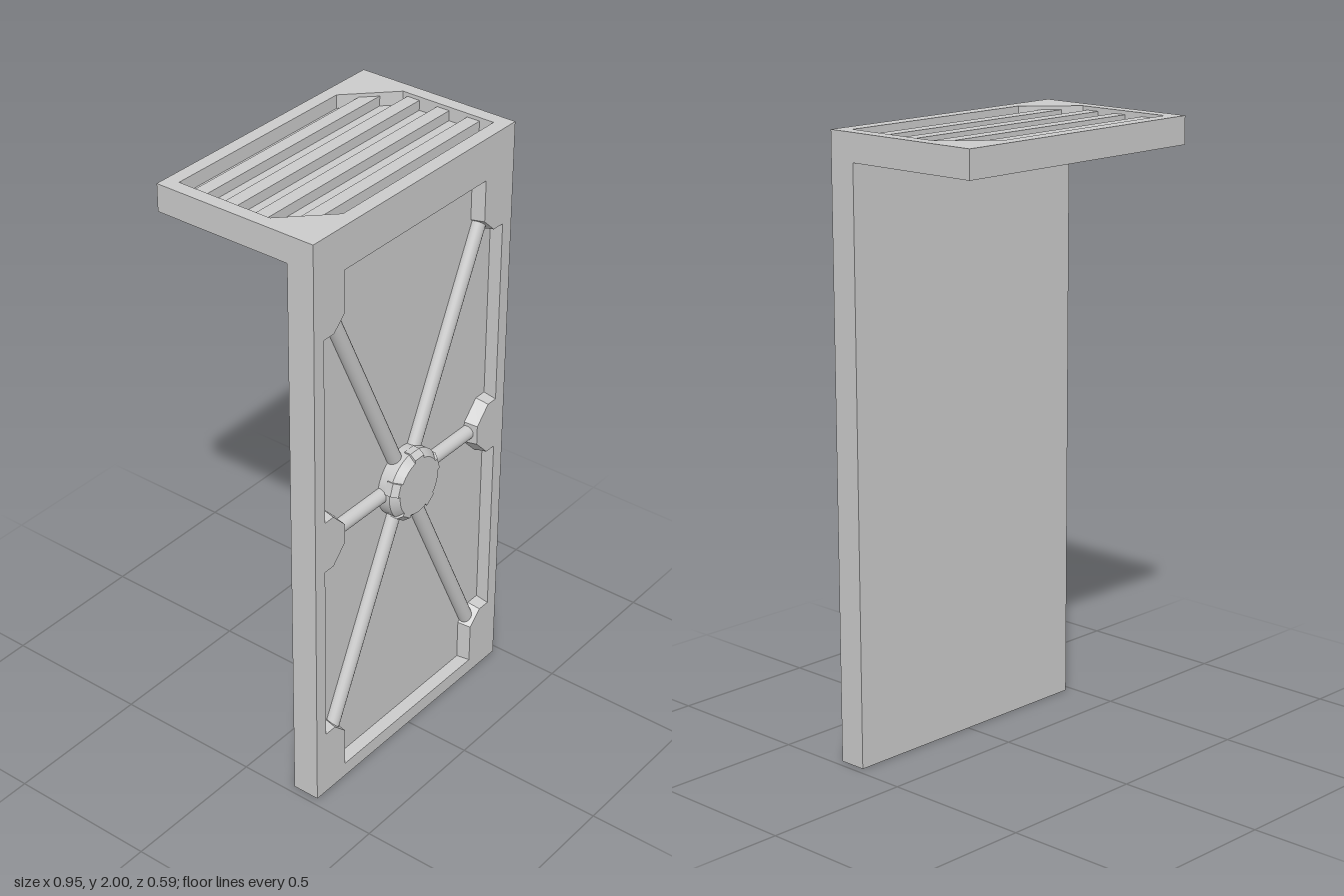
import * as THREE from 'three';

const W = 0.475, FRONT = 0.273, BACK = -0.297, FLOOR_Z = 0.228, FLOOR_Y = 1.955;
const CY = 0.955; // height of the hub
const mat = new THREE.MeshStandardMaterial({ color: 0xcccccc });
const flat = new THREE.MeshStandardMaterial({ color: 0xcccccc, flatShading: true });
const twoSided = new THREE.MeshStandardMaterial({ color: 0xcccccc, flatShading: true, side: THREE.DoubleSide });

function add(parent, name, geometry, material = mat) {
  const mesh = new THREE.Mesh(geometry, material);
  mesh.name = name;
  parent.add(mesh);
  return mesh;
}

// Box given by its two extreme corners
function block(parent, name, a, b) {
  const mesh = add(parent, name, new THREE.BoxGeometry(b[0] - a[0], b[1] - a[1], b[2] - a[2]));
  mesh.position.set((a[0] + b[0]) / 2, (a[1] + b[1]) / 2, (a[2] + b[2]) / 2);
}

const toPath = (pts, Type = THREE.Shape) => new Type(pts.map(([x, y]) => new THREE.Vector2(x, y)));

function extrude(pts, depth, hole) {
  const shape = toPath(pts);
  if (hole) shape.holes.push(toPath(hole, THREE.Path));
  return new THREE.ExtrudeGeometry(shape, { depth, bevelEnabled: false });
}

// Recess outline of the door; d pushes the notches inwards
function doorOutline(d) {
  const quarter = [
    [0.335 - d, 1.86], [0.335 - d, 1.722 - d / 2], [0.385 - d / 2, 1.675 - d], [0.43, 1.675 - d],
    [0.43, 1.045 + d], [0.39 - d / 2, 1.045 + d], [0.335 - d, 0.988 + d / 2],
  ];
  const right = [...quarter, ...quarter.map(([x, y]) => [x, 2 * CY - y]).reverse()];
  return [...right, ...right.map(([x, y]) => [-x, y]).reverse()];
}

// Sloping wall between two outlines
function loft(a, za, b, zb) {
  const pos = [], index = [], n = a.length;
  a.forEach(([x, y], i) => {
    pos.push(x, y, za, b[i][0], b[i][1], zb);
    const p = 2 * i, q = 2 * ((i + 1) % n);
    index.push(p, q, p + 1, q, q + 1, p + 1);
  });
  const g = new THREE.BufferGeometry();
  g.setAttribute('position', new THREE.Float32BufferAttribute(pos, 3));
  g.setIndex(index);
  g.computeVertexNormals();
  return g;
}

function makeDoor() {
  const door = new THREE.Group();
  door.name = 'door';
  block(door, 'doorPanel', [-W, 0, 0.18], [W, FLOOR_Y, FLOOR_Z]);
  const rim = doorOutline(0), foot = doorOutline(0.008);
  const frame = extrude([[-W, 0], [W, 0], [W, 2], [-W, 2]], FRONT - FLOOR_Z, rim);
  add(door, 'doorFrame', frame).position.z = FLOOR_Z;
  add(door, 'recessWall', loft(rim, FRONT, foot, FLOOR_Z), twoSided);

  // Six rods running out from the hub
  const ends = [[0.345, 0], [0.357, 0.75], [0.357, -0.75]];
  for (const side of [-1, 1]) {
    for (const [x, y] of ends) {
      const length = Math.hypot(x, y);
      const rod = add(door, 'lockingRod', new THREE.CylinderGeometry(0.025, 0.025, length - 0.06, 20));
      const dir = new THREE.Vector3(side * x, y, 0).normalize();
      rod.quaternion.setFromUnitVectors(new THREE.Vector3(0, 1, 0), dir);
      rod.position.copy(dir).multiplyScalar((length + 0.06) / 2).add(new THREE.Vector3(0, CY, 0.235));
    }
  }
  return door;
}

function makeHub() {
  const hub = new THREE.Group();
  hub.name = 'hub';
  hub.position.set(0, CY, 0);
  const base = add(hub, 'hubBase', new THREE.CylinderGeometry(0.118, 0.118, FRONT - FLOOR_Z, 32));
  base.rotation.x = Math.PI / 2;
  base.position.z = (FRONT + FLOOR_Z) / 2;
  const cap = add(hub, 'hubCap', new THREE.CylinderGeometry(0.096, 0.118, 0.024, 32));
  cap.rotation.x = Math.PI / 2;
  cap.position.z = FRONT + 0.012;

  // Five wedge lugs on the bevelled edge
  const profile = [[0.085, 0.255], [0.12, 0.255], [0.12, 0.278], [0.104, 0.297], [0.085, 0.297]];
  for (let i = 0; i < 5; i++) {
    const pivot = new THREE.Group();
    pivot.rotation.z = Math.PI / 2 + (i * 2 * Math.PI) / 5;
    const lug = add(pivot, 'hubLug', extrude(profile, 0.044), flat);
    lug.rotation.x = Math.PI / 2;
    lug.position.y = 0.022;
    hub.add(pivot);
  }
  return hub;
}

function makeCanopy() {
  const canopy = new THREE.Group();
  canopy.name = 'canopy';
  block(canopy, 'canopyBase', [-W, 1.91, BACK], [W, FLOOR_Y, 0.18]);

  // Plan outlines are drawn as (x, z) and laid flat
  const lay = (name, pts, top, hole) => {
    const mesh = add(canopy, name, extrude(pts, top - FLOOR_Y, hole));
    mesh.rotation.x = Math.PI / 2;
    mesh.position.y = top;
  };
  const recess = [[-0.43, -0.252], [0.285, -0.252], [0.43, -0.11], [0.43, 0.226], [-0.285, 0.226], [-0.43, 0.083]];
  lay('canopyFrame', [[-W, BACK], [W, BACK], [W, FLOOR_Z], [-W, FLOOR_Z]], 2, recess);

  // Grille bars, trimmed to the slanted corners
  const left = (z) => -0.43 + Math.max(0, z - 0.083) * 1.014;
  const right = (z) => 0.43 - Math.max(0, -0.11 - z) * 1.021;
  for (let i = 0; i < 4; i++) {
    const z0 = -0.205 + i * 0.1117, z1 = z0 + 0.045;
    lay('grilleBar', [[left(z0), z0], [right(z0), z0], [right(z1), z1], [left(z1), z1]], 1.988);
  }
  return canopy;
}

export function createModel() {
  const model = new THREE.Group();
  model.name = 'doorWithCanopy';
  model.add(makeDoor(), makeHub(), makeCanopy());
  return model;
}
